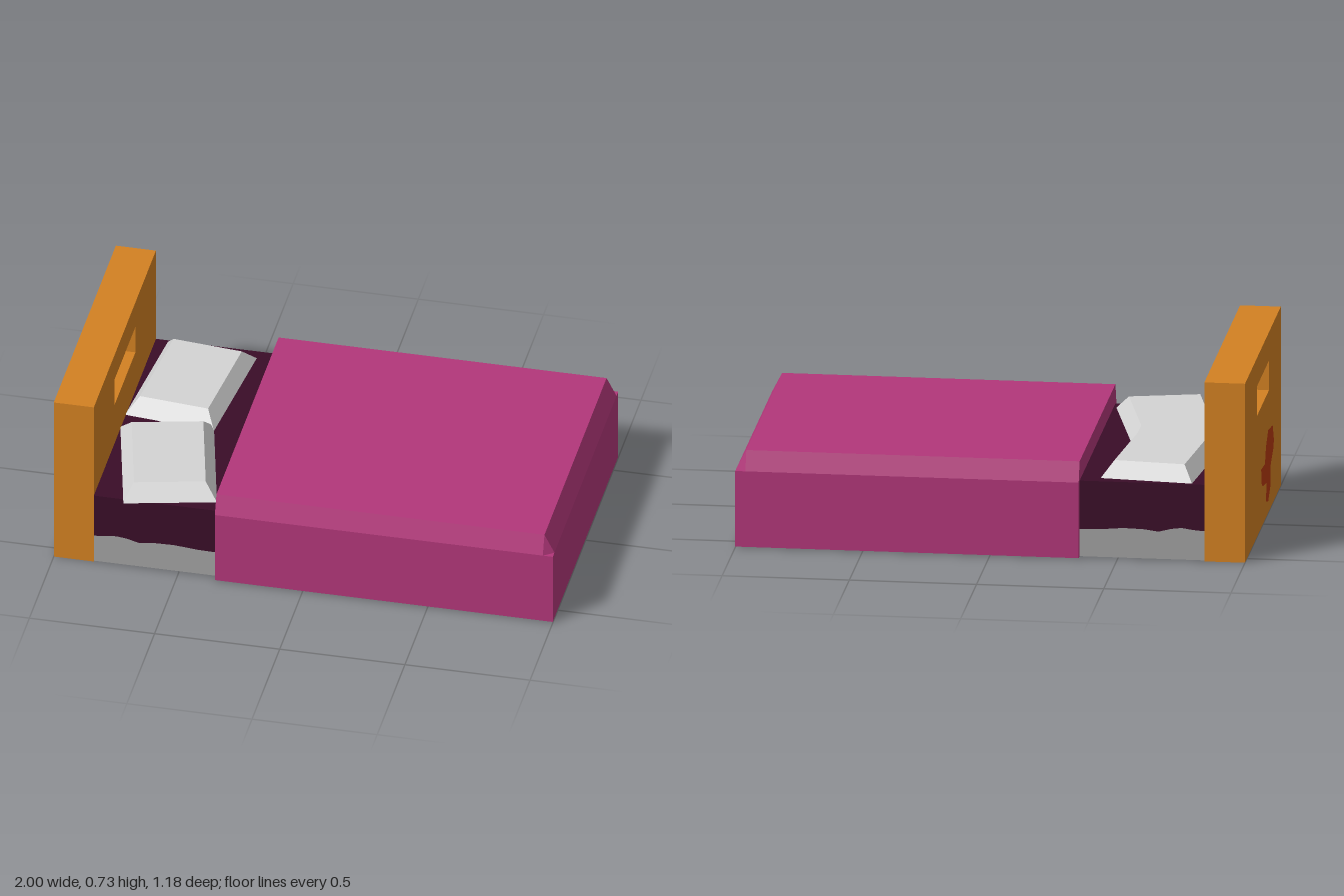
import * as THREE from 'three';
import { ConvexGeometry } from 'three/addons/geometries/ConvexGeometry.js';

const material = (name, color) => {
  const m = new THREE.MeshStandardMaterial({ color });
  m.name = name;
  return m;
};

const shapeOf = (points) => new THREE.Shape(points.map(([x, y]) => new THREE.Vector2(x, y)));

export function createModel() {
  const wood = material('orange wood', 0xd38122);
  const stainRed = material('red stain', 0xb83a10);
  const pink = material('pink blanket', 0xb2377a);
  const maroon = material('dark maroon sheet', 0x3a0d28);
  const grey = material('grey mattress', 0xa2a2a2);
  const white = material('pale pillow', 0xd4d4d4);

  const bed = new THREE.Group();
  bed.name = 'bed';

  const add = (name, geometry, mat, parent = bed) => {
    const mesh = new THREE.Mesh(geometry, mat);
    mesh.name = name;
    parent.add(mesh);
    return mesh;
  };

  // Headboard with a rectangular slot, drawn in z/y and extruded towards -x
  const board = shapeOf([[-0.56, 0], [0.56, 0], [0.56, 0.725], [-0.56, 0.725]]);
  board.holes.push(shapeOf([[-0.19, 0.49], [-0.19, 0.61], [0.19, 0.61], [0.19, 0.49]]));
  const boardGeo = new THREE.ExtrudeGeometry(board, { depth: 0.16, bevelEnabled: false });
  boardGeo.rotateY(-Math.PI / 2).translate(-0.84, 0, 0);
  add('headboard', boardGeo, wood);

  // Irregular stain on the back of the headboard
  const stain = shapeOf([
    [-0.07, 0.24], [-0.05, 0.17], [0, 0.155], [0.1, 0.14], [0.08, 0.07], [0.15, 0.05],
    [0.22, 0.095], [0.23, 0.18], [0.31, 0.22], [0.33, 0.25], [0.29, 0.32], [0.15, 0.34],
    [0.08, 0.29], [0.05, 0.23],
  ]);
  add('stain', new THREE.ShapeGeometry(stain).rotateY(-Math.PI / 2).translate(-1.002, 0, 0), stainRed);

  // Mattress and the sheet hanging over it, sharing a wavy hem
  const hem = [
    [-0.84, 0.122], [-0.8, 0.125], [-0.75, 0.132], [-0.71, 0.127], [-0.66, 0.114],
    [-0.6, 0.122], [-0.52, 0.124], [-0.43, 0.116], [-0.35, 0.114], [0.96, 0.12],
  ];
  const layer = (name, points, mat) => {
    const g = new THREE.ExtrudeGeometry(shapeOf(points), { depth: 1.12, bevelEnabled: false });
    add(name, g.translate(0, 0, -0.56), mat);
  };
  layer('mattress', [[-0.84, 0.004], [0.96, 0.004], ...[...hem].reverse()], grey);
  layer('sheet', [...hem, [0.96, 0.31], [-0.84, 0.31]], maroon);

  // Underside panels
  const underside = (name, x0, x1, depth, y, mat) => {
    const g = new THREE.PlaneGeometry(x1 - x0, depth).rotateX(Math.PI / 2);
    add(name, g.translate((x0 + x1) / 2, y, 0), mat);
  };
  underside('woodenBase', -0.84, 0.96, 1.12, 0, wood);
  underside('blanketLining', -0.35, 1, 1.18, 0.002, grey);

  // Blanket: straight sides and a top with sloping edges and clipped corners
  const blanket = new THREE.Group();
  blanket.name = 'blanket';
  bed.add(blanket);
  add('blanketSides', new THREE.BoxGeometry(1.35, 0.306, 1.18).translate(0.325, 0.157, 0), pink, blanket);
  const topPoints = [];
  for (const s of [-1, 1]) {
    topPoints.push(
      new THREE.Vector3(-0.35, 0.31, 0.59 * s), new THREE.Vector3(0.96, 0.31, 0.59 * s),
      new THREE.Vector3(1, 0.31, 0.56 * s),
      new THREE.Vector3(-0.35, 0.388, 0.56 * s), new THREE.Vector3(0.96, 0.388, 0.56 * s),
    );
  }
  add('blanketTop', new ConvexGeometry(topPoints), pink, blanket);

  // Two bevelled pillows, each turned a little
  const pillowPoints = [];
  for (const [w, l, y] of [[0.365, 0.535, 0.31], [0.28, 0.42, 0.37]])
    for (const sx of [-1, 1])
      for (const sz of [-1, 1]) pillowPoints.push(new THREE.Vector3(sx * w / 2, y, sz * l / 2));
  const pillowGeo = new ConvexGeometry(pillowPoints);
  for (const [name, x, z, turn] of [['backPillow', -0.635, -0.265, -0.1], ['frontPillow', -0.602, 0.285, 0.24]]) {
    const pillow = add(name, pillowGeo, white);
    pillow.position.set(x, 0, z);
    pillow.rotation.y = turn;
  }

  return bed;
}
